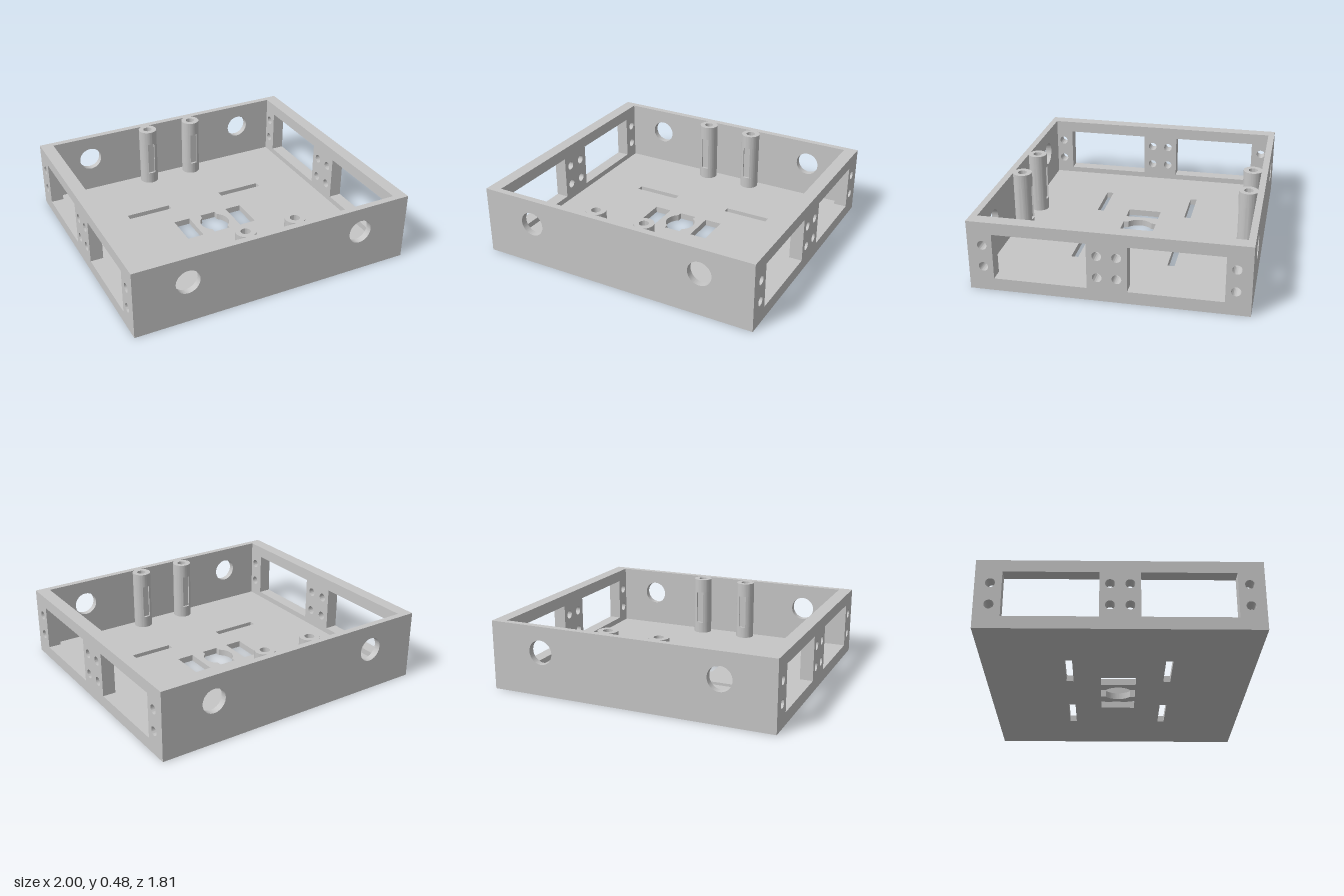
import * as THREE from 'three';
import { toCreasedNormals } from 'three/addons/utils/BufferGeometryUtils.js';

const W = 1, D = 0.905, H = 0.48;        // half width, half depth, full height
const FLOOR = 0.045, THIN = 0.045, THICK = 0.09;

function rectPath(x0, y0, x1, y1, Type = THREE.Path) {
  const p = new Type();
  p.moveTo(x0, y0);
  p.lineTo(x1, y0);
  p.lineTo(x1, y1);
  p.lineTo(x0, y1);
  p.closePath();
  return p;
}

function circlePath(x, y, r) {
  return new THREE.Path().absarc(x, y, r, 0, Math.PI * 2, false);
}

function extrude(shape, depth) {
  const geo = new THREE.ExtrudeGeometry(shape, { depth, bevelEnabled: false, curveSegments: 40 });
  return toCreasedNormals(geo, 0.6);
}

// Round opening with a straight tab above and below
function keyedHole(r, half, reach) {
  const a = Math.acos(half / r);
  const p = new THREE.Path();
  p.absarc(0, 0, r, -a, a, false);
  p.lineTo(half, reach);
  p.lineTo(-half, reach);
  p.absarc(0, 0, r, Math.PI - a, Math.PI + a, false);
  p.lineTo(-half, -reach);
  p.lineTo(half, -reach);
  p.closePath();
  return p;
}

export function createModel() {
  const model = new THREE.Group();
  model.name = 'enclosureTray';
  const grey = new THREE.MeshStandardMaterial({ color: 0xc6c6c6 });
  grey.name = 'lightGrey';

  const add = (parent, name, geo) => {
    const mesh = new THREE.Mesh(geo, grey);
    mesh.name = name;
    parent.add(mesh);
    return mesh;
  };

  // Floor with cable slots and the central keyed opening
  const floor = rectPath(-W, -D, W, D, THREE.Shape);
  for (const s of [-1, 1]) {
    for (const t of [-1, 1]) {
      const x = s * 0.376, y = t * 0.332;
      floor.holes.push(rectPath(x - 0.166, y - 0.024, x + 0.166, y + 0.024));
    }
    floor.holes.push(rectPath(s * 0.209 - 0.06, -0.12, s * 0.209 + 0.06, 0.12));
  }
  floor.holes.push(keyedHole(0.105, 0.06, 0.12));
  add(model, 'floor', extrude(floor, FLOOR).rotateX(-Math.PI / 2));

  // Front and back walls with two round openings each
  const endWall = rectPath(-W, FLOOR, W, H, THREE.Shape);
  for (const s of [-1, 1]) endWall.holes.push(circlePath(s * 0.631, 0.302, 0.084));
  const endGeo = extrude(endWall, THIN);
  add(model, 'frontWall', endGeo).position.z = D - THIN;
  add(model, 'backWall', endGeo).position.z = -D;

  // Side walls with two windows and screw holes
  const sideWall = (windowEnd) => {
    const inner = D - THIN;
    const wall = rectPath(-inner, FLOOR, inner, H, THREE.Shape);
    for (const s of [-1, 1]) {
      const ends = [s * 0.13, s * windowEnd].sort((a, b) => a - b);
      wall.holes.push(rectPath(ends[0], 0.085, ends[1], 0.398));
      for (const z of [0.063, 0.808]) {
        for (const y of [0.166, 0.317]) wall.holes.push(circlePath(s * z, y, 0.031));
      }
    }
    return extrude(wall, THICK).rotateY(Math.PI / 2);
  };
  add(model, 'leftWall', sideWall(0.742)).position.x = W - THICK;
  add(model, 'rightWall', sideWall(0.735)).position.x = -W;

  // Screw posts: hollow tubes with a shallow upright recess facing inward
  const R = 0.067, BORE = 0.032, SLOT = 0.026, SLOT_FLOOR = 0.05, UP = Math.PI / 2;
  const ring = new THREE.Shape().absarc(0, 0, R, 0, Math.PI * 2, false);
  const a = Math.asin(SLOT / R);
  const slotted = new THREE.Shape();
  slotted.absarc(0, 0, R, UP + a, UP - a + Math.PI * 2, false);
  slotted.lineTo(SLOT, SLOT_FLOOR);
  slotted.lineTo(-SLOT, SLOT_FLOOR);
  slotted.closePath();
  for (const shape of [ring, slotted]) shape.holes.push(circlePath(0, 0, BORE));

  const sections = [
    ['postFoot', ring, FLOOR, 0.13],
    ['postSlottedShaft', slotted, 0.13, 0.38],
    ['postCap', ring, 0.38, H],
  ].map(([name, shape, y0, y1]) =>
    [name, extrude(shape, y1 - y0).rotateX(-Math.PI / 2).translate(0, y0, 0)]);

  for (const sx of [-1, 1]) {
    for (const sz of [-1, 1]) {
      const post = new THREE.Group();
      post.name = (sz > 0 ? 'front' : 'back') + (sx > 0 ? 'Left' : 'Right') + 'ScrewPost';
      for (const [name, geo] of sections) add(post, name, geo);
      post.position.set(sx * 0.18, 0, sz * 0.799);
      if (sz < 0) post.rotation.y = Math.PI;
      model.add(post);
    }
  }
  return model;
}
